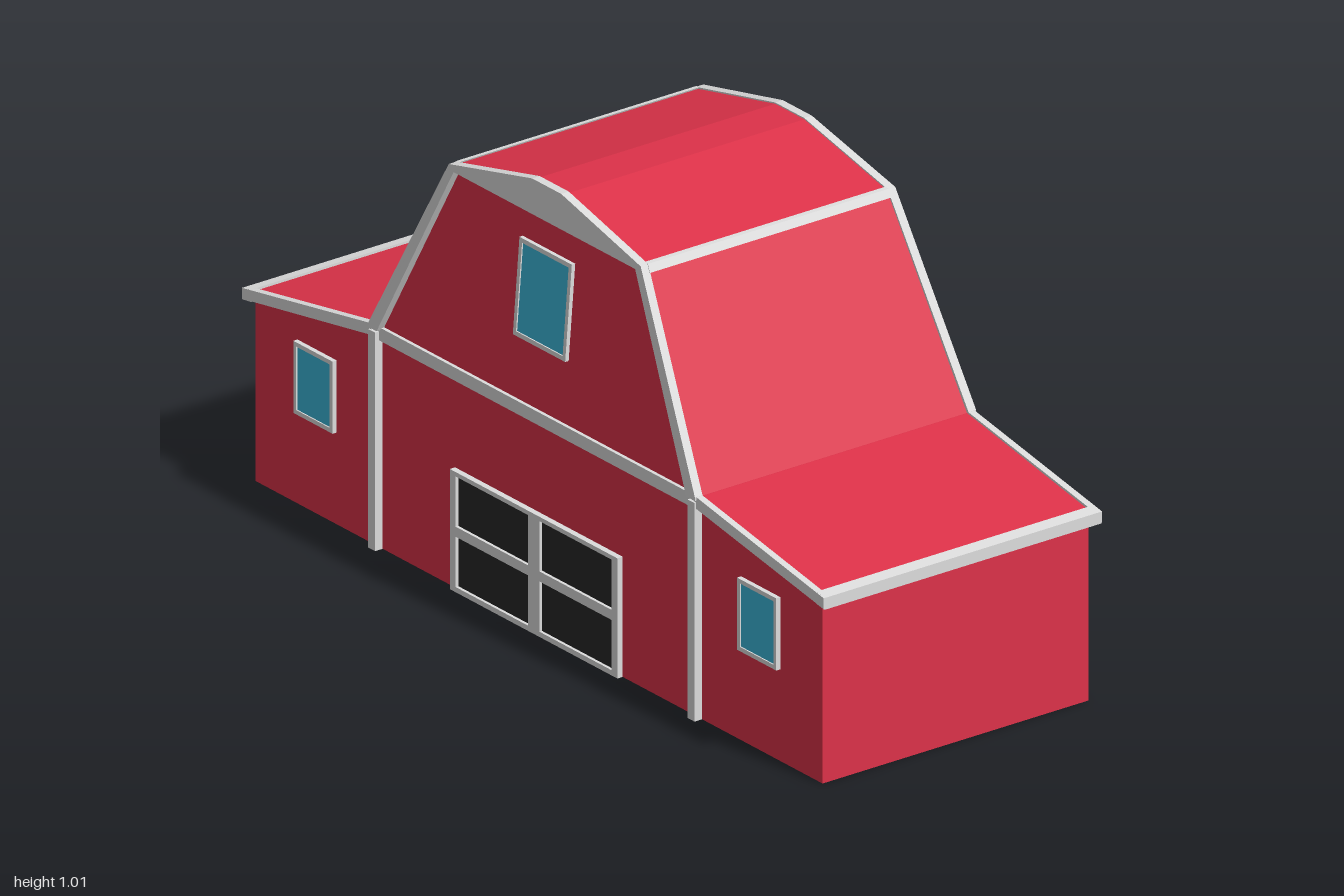
import * as THREE from 'three';

const material = (name, color) => {
  const m = new THREE.MeshStandardMaterial({ color });
  m.name = name;
  return m;
};

const EAVE = 0.51;  // height where the upper storey starts
const LEAN = 0.08;  // inward lean of the upper walls per unit of height

// Rectangle as (z, y) points
const rect = (z0, y0, z1, y1) => [[z0, y0], [z1, y0], [z1, y1], [z0, y1]];
const toPoints = (list) => list.map(([z, y]) => new THREE.Vector2(z, y));
// Mirrors a half profile to the other side of z = 0
const mirrored = (half) => [...half, ...half.map(([z, y]) => [-z, y]).reverse()];
const flipZ = (points) => points.map(([z, y]) => [-z, y]);

// Extrudes a (z, y) outline from x = xa to x = xb, leaning inward above the eave
function slab(outline, xa, xb, holes = []) {
  const shape = new THREE.Shape(toPoints(outline));
  holes.forEach((h) => shape.holes.push(new THREE.Path(toPoints(h))));
  const geo = new THREE.ExtrudeGeometry(shape, { depth: 1, bevelEnabled: false });
  const p = geo.attributes.position;
  for (let i = 0; i < p.count; i++) {
    const z = p.getX(i), y = p.getY(i);
    const x = xb + (xa - xb) * p.getZ(i);
    p.setXYZ(i, x - Math.sign(x) * Math.max(0, y - EAVE) * LEAN, y, z);
  }
  geo.computeVertexNormals();
  return geo;
}

export function createModel() {
  const red = material('barn red', 0xdd3249);
  const trim = material('pale trim', 0xdcdcdc);
  const glass = material('blue glass', 0x3cb9dc);
  const dark = material('dark door panel', 0x282828);

  const model = new THREE.Group();
  model.name = 'barn';
  const add = (name, geo, mat) => {
    const mesh = new THREE.Mesh(geo, mat);
    mesh.name = name;
    model.add(mesh);
  };

  // Lower storey with both lean-to ends, then the upper storey with its roof
  add('lowerBody', slab(mirrored([[0.975, 0], [0.975, 0.436], [0.558, 0.509]]), -0.35, 0.35), red);
  add('upperBody', slab(mirrored([[0.558, 0.506], [0.327, 0.947], [0.05, 1.012]]), -0.352, 0.352), red);

  // Trim on both long sides
  for (const s of [1, -1]) {
    const side = s > 0 ? 'left' : 'right';
    const sideSlab = (outline, inner, outer) =>
      s > 0 ? slab(outline, inner, outer) : slab(outline, -outer, -inner);

    add(side + 'Band', sideSlab(rect(-0.55, 0.48, 0.55, 0.51), 0.345, 0.36), trim);
    add(side + 'GableCap', sideSlab(
      mirrored([[0.322, 0.938], [0.33, 0.95], [0.05, 1.015]]), 0.35, 0.37), trim);

    for (const end of [1, -1]) {
      const place = (outline) => (end > 0 ? outline : flipZ(outline));
      add(side + 'Post', sideSlab(place(rect(0.537, 0, 0.561, 0.5)), 0.345, 0.37), trim);
      add(side + 'SteepRake', sideSlab(
        place([[0.532, 0.505], [0.562, 0.505], [0.562, 0.513], [0.33, 0.95], [0.312, 0.938]]),
        0.35, 0.37), trim);
      add(side + 'LowRake', sideSlab(
        place([[0.55, 0.488], [1, 0.412], [1, 0.437], [0.56, 0.513]]), 0.35, 0.366), trim);
    }
  }

  // Trim across the roof at each end
  for (const end of [1, -1]) {
    const place = (outline) => (end > 0 ? outline : flipZ(outline));
    add('leanToFascia', slab(
      place([[0.972, 0.414], [1, 0.41], [1, 0.437], [0.972, 0.442]]), -0.364, 0.364), trim);
    add('roofBreakTrim', slab(
      place([[0.33, 0.931], [0.34, 0.934], [0.331, 0.951], [0.32, 0.952]]), -0.352, 0.352), trim);
  }

  // Framed windows on the right side
  const windows = [
    [-0.83, 0.21, -0.695, 0.375],
    [0.695, 0.21, 0.83, 0.375],
    [-0.09, 0.65, 0.09, 0.868],
  ];
  for (const [z0, y0, z1, y1] of windows) {
    const b = 0.01;
    const pane = rect(z0 + b, y0 + b, z1 - b, y1 - b);
    add('windowFrame', slab(rect(z0, y0, z1, y1), -0.361, -0.35, [pane]), trim);
    add('windowPane', slab(pane, -0.358, -0.35), glass);
  }

  // Double door on the right side, each leaf with a middle rail
  for (const [z0, z1] of [[-0.288, 0], [0, 0.288]]) {
    const lower = rect(z0 + 0.02, 0.012, z1 - 0.02, 0.127);
    const upper = rect(z0 + 0.02, 0.15, z1 - 0.02, 0.265);
    add('doorFrame', slab(rect(z0, 0, z1, 0.275), -0.364, -0.35, [lower, upper]), trim);
    add('doorPanel', slab(lower, -0.357, -0.35), dark);
    add('doorPanel', slab(upper, -0.357, -0.35), dark);
  }

  return model;
}
